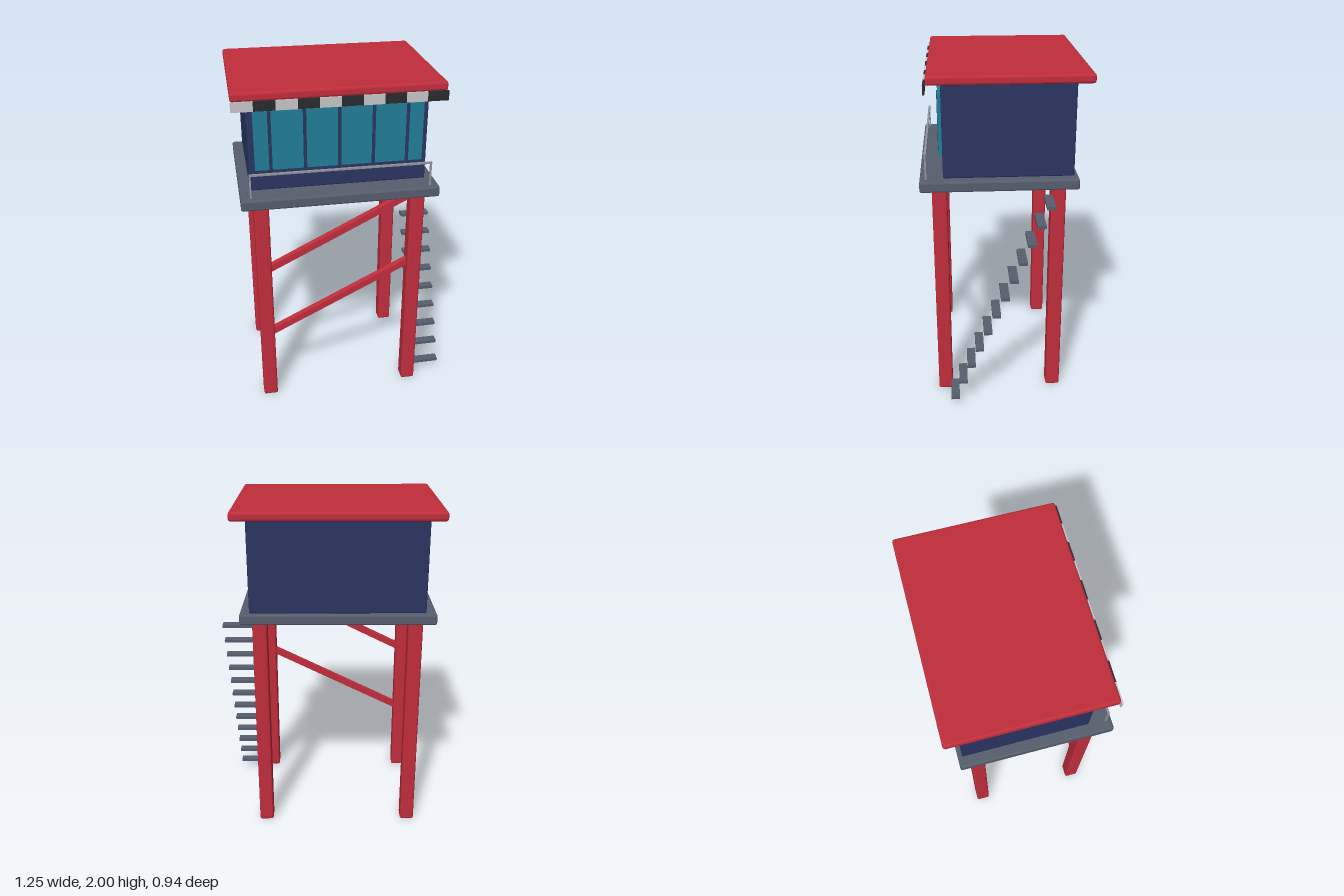
import * as THREE from 'three';
import { RoundedBoxGeometry } from 'three/addons/geometries/RoundedBoxGeometry.js';

const material = (name, color) => {
  const m = new THREE.MeshStandardMaterial({ color });
  m.name = name;
  return m;
};

export function createModel() {
  const group = new THREE.Group();
  group.name = 'watchtower';

  const red = material('red', 0xc22e3c);
  const navy = material('navy', 0x2c3563);
  const slate = material('slate', 0x575e6e);
  const teal = material('teal', 0x22809a);
  const white = material('white', 0xc8c8ca);
  const black = material('black', 0x2a2b30);
  const steel = material('steel', 0x9298a0);

  // Box given by its low and high corners, with optional bevelled edges
  function box(name, mat, [x0, y0, z0], [x1, y1, z1], bevel = 0) {
    const size = [x1 - x0, y1 - y0, z1 - z0];
    const geometry = bevel
      ? new RoundedBoxGeometry(...size, 1, bevel)
      : new THREE.BoxGeometry(...size);
    if (bevel) geometry.computeVertexNormals();
    const mesh = new THREE.Mesh(geometry, mat);
    mesh.name = name;
    mesh.position.set((x0 + x1) / 2, (y0 + y1) / 2, (z0 + z1) / 2);
    group.add(mesh);
    return mesh;
  }

  // Legs
  const half = 0.0425;
  for (const x of [-0.493, 0.403]) {
    for (const z of [-0.307, 0.363]) {
      box('leg', red, [x - half, 0, z - half], [x + half, 1.35, z + half], 0.01);
    }
  }

  // Diagonal braces between the front legs
  const run = 0.83, rise = 0.418;
  const braceLength = Math.hypot(run, rise);
  for (const y of [0.677, 1.125]) {
    const brace = box('brace', red,
      [-braceLength / 2, -0.019, -0.019], [braceLength / 2, 0.019, 0.019]);
    brace.position.set(-0.045, y, 0.363);
    brace.rotation.z = Math.atan2(rise, run);
  }

  // Platform, cabin and roof
  box('platform', slate, [-0.605, 1.35, -0.415], [0.51, 1.412, 0.47], 0.01);
  box('cabin', navy, [-0.545, 1.412, -0.39], [0.455, 1.952, 0.34], 0.008);
  box('roof', red, [-0.625, 1.95, -0.472], [0.535, 2, 0.415], 0.012);

  // Window band with mullions
  box('window', teal, [-0.512, 1.54, 0.338], [0.424, 1.877, 0.36]);
  for (let i = 0; i < 5; i++) {
    const x = -0.425 + i * 0.19;
    box('mullion', navy, [x - 0.009, 1.54, 0.34], [x + 0.009, 1.877, 0.364]);
  }

  // Chequered strip under the roof edge
  for (let i = 0; i < 10; i++) {
    const x = -0.625 + i * 0.116;
    box('warningStripe', i % 2 ? black : white, [x, 1.903, 0.42], [x + 0.116, 1.957, 0.43]);
  }

  // Front railing
  const r = 0.005;
  for (const x of [-0.548, 0.458]) {
    box('railPost', steel, [x - r, 1.405, 0.43], [x + r, 1.55, 0.44]);
  }
  box('handrail', steel, [-0.553, 1.543, 0.429], [0.463, 1.554, 0.441]);

  // Floating stair treads
  for (let i = 0; i < 12; i++) {
    const y = 0.058 + i * 0.1121;
    const z = 0.304 - i * 0.05;
    box('step', slate, [0.444, y - 0.009, z - 0.025], [0.625, y + 0.009, z + 0.025]);
  }

  return group;
}
